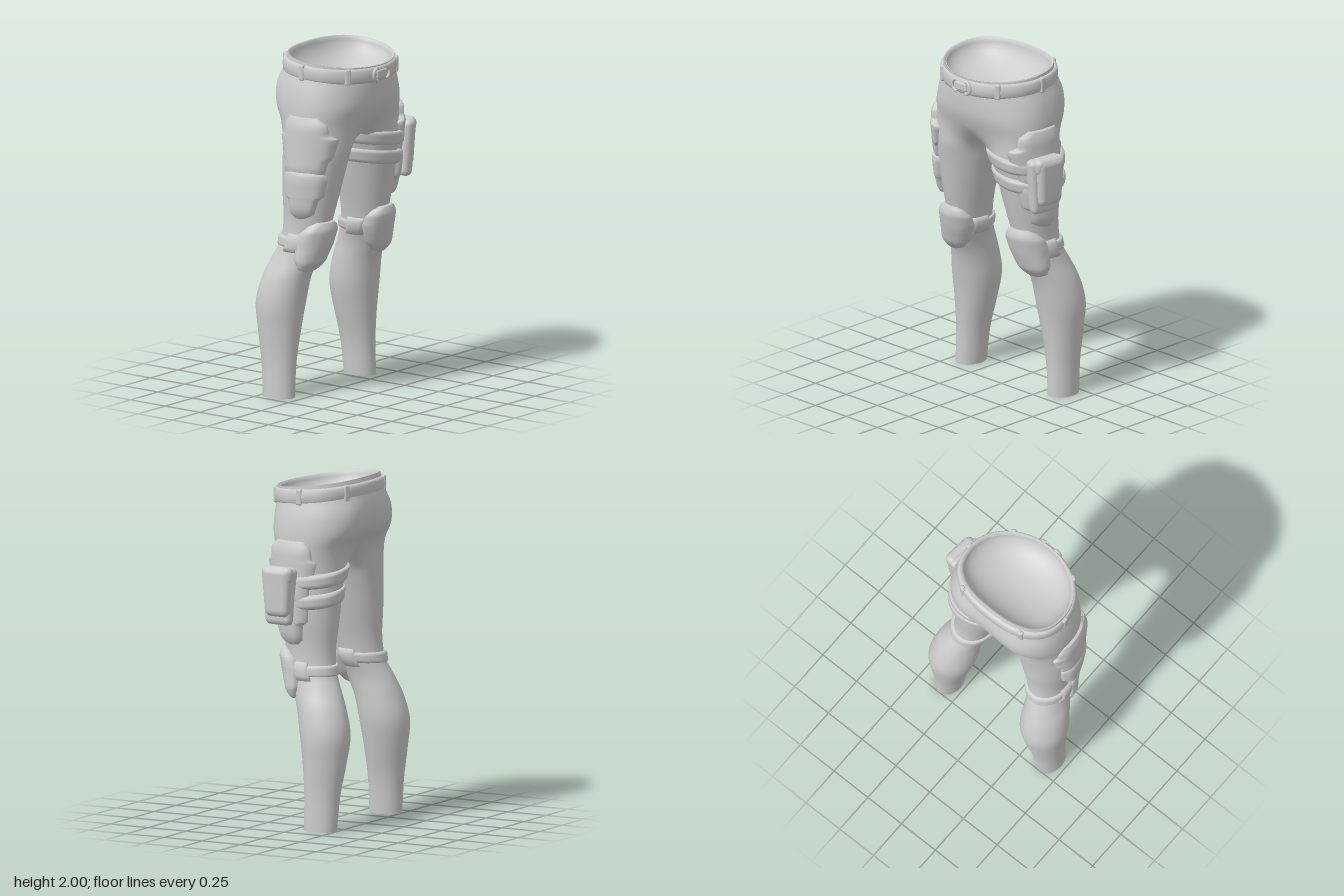
import * as THREE from 'three';
import { mergeVertices, mergeGeometries } from 'three/addons/utils/BufferGeometryUtils.js';
import { RoundedBoxGeometry } from 'three/addons/geometries/RoundedBoxGeometry.js';

const CX = -0.025; // symmetry plane of the trousers
const rad = THREE.MathUtils.degToRad;
const lerp = THREE.MathUtils.lerp;
const spow = (v, p) => Math.sign(v) * Math.abs(v) ** p;

// leg sections: y, inner x, outer x, front z, back z
const LEG = [
  [0, 0.295, 0.45, -0.05, -0.25], [0.2, 0.275, 0.45, -0.05, -0.265],
  [0.4, 0.23, 0.465, -0.035, -0.295], [0.55, 0.2, 0.475, -0.015, -0.31],
  [0.7, 0.195, 0.45, 0.015, -0.275], [0.8, 0.19, 0.415, 0.055, -0.235],
  [0.9, 0.165, 0.39, 0.09, -0.19], [1.02, 0.14, 0.385, 0.12, -0.175],
  [1.2, 0.095, 0.4, 0.16, -0.185], [1.35, 0.06, 0.405, 0.19, -0.19],
  [1.46, 0.03, 0.4, 0.212, -0.2],
];
// hip sections: y, half width, front z, back z, front cleft, back cleft, tilt, front squareness
const HIP = [
  [1.6, 0.395, 0.248, -0.25, 0.012, 0.055, 0, 0.8], [1.7, 0.392, 0.275, -0.302, 0, 0.035, 0, 0.87],
  [1.8, 0.376, 0.285, -0.308, 0, 0.025, 0.04, 0.95], [1.9, 0.347, 0.287, -0.258, 0, 0, 0.09, 1],
  [1.97, 0.342, 0.29, -0.235, 0, 0, 0.125, 1],
];

// section points; angle 0 is the front, 90 the outer side, 180 the back
function legPoint([y, xi, xo, zf, zb], a, s, out = 0) {
  const rx = (xo - xi) / 2, rz = (zf - zb) / 2;
  const n = new THREE.Vector2(Math.sin(a) / rx, Math.cos(a) / rz).normalize();
  const x = (xi + xo) / 2 + rx * Math.sin(a) + n.x * out;
  return new THREE.Vector3(CX + s * x, y, (zf + zb) / 2 + rz * Math.cos(a) + n.y * out);
}
function hipPoint([y, w, zf, zb, cf, cb, tilt, pf], a, s) {
  const c = Math.cos(a), p = c > 0 ? pf : 0.8;
  const dip = Math.exp(-((Math.acos(Math.min(1, Math.abs(c))) / 0.4) ** 2));
  const z = c > 0 ? zf * spow(c, p) - cf * dip : zb * spow(-c, p) + cb * dip;
  return new THREE.Vector3(CX + s * w * spow(Math.sin(a), p), y - tilt * z, z);
}
function legAt(y) {
  const keys = [...LEG, [1.6, 0, 0.395, 0.25, -0.24]];
  let i = 0;
  while (i < keys.length - 2 && keys[i + 1][0] < y) i++;
  const t = Math.min(1, (y - keys[i][0]) / (keys[i + 1][0] - keys[i][0]));
  const k = keys[i].map((v, j) => lerp(v, keys[i + 1][j], t));
  k[0] = y;
  return k;
}

// skin over rows of points
function grid(rows, flip) {
  const n = rows[0].length, index = [];
  for (let i = 0; i < rows.length - 1; i++) for (let j = 0; j < n - 1; j++) {
    const a = i * n + j, b = a + 1, d = a + n, c = d + 1;
    index.push(...(flip ? [a, c, b, a, d, c] : [a, b, c, a, c, d]));
  }
  const g = new THREE.BufferGeometry().setFromPoints(rows.flat());
  g.setIndex(index);
  return smooth(g);
}
function smooth(g) {
  g.deleteAttribute('normal');
  g.deleteAttribute('uv');
  const m = mergeVertices(g, 1e-4);
  m.computeVertexNormals();
  return m;
}

// one half of the trousers: outer columns run ankle to waist, inner ones ankle to crotch
function halfBody(s) {
  const STEP = 4, N = 36, M = 10;
  const sample = (pts) => new THREE.CatmullRomCurve3(pts, false, 'centripetal').getPoints(STEP * (pts.length - 1));
  const outer = [], inner = [];
  for (let j = 0; j <= N; j++) {
    const a = rad(-50 + 280 * j / N), h = Math.PI * j / N;
    outer.push(sample([...LEG.map(k => legPoint(k, a, s)), ...HIP.map(k => hipPoint(k, h, s))]));
  }
  const back = hipPoint(HIP[0], Math.PI, s), front = hipPoint(HIP[0], 0, s);
  for (let j = 0; j <= M; j++) {
    const u = j / M, a = rad(230 + 80 * u);
    const crotch = new THREE.Vector3(CX, 1.6 - 0.07 * Math.sin(Math.PI * u) ** 0.8, lerp(back.z, front.z, u));
    inner.push(sample([...LEG.map(k => legPoint(k, a, s)), crotch]));
  }
  inner[0] = outer[N].slice(0, LEG.length * STEP + 1);
  inner[M] = outer[0].slice(0, LEG.length * STEP + 1);
  return [grid(outer, s > 0), grid(inner, s > 0)];
}

// raised, soft-edged pad following a leg; rows run upward as y, start angle, end angle
const swell = (f) => 0.4 + 0.6 * Math.sin(Math.min(1, Math.min(f, 1 - f) / 0.22) * Math.PI / 2);
function patch(s, rows, thick, { shift = () => 0, closed = false } = {}) {
  const across = [];
  if (closed) for (let i = 0; i <= 48; i++) across.push([i / 48, 1]);
  else {
    for (let i = 0; i <= 20; i++) across.push([i / 20, swell(i / 20)]);
    across.unshift([0, -1]);
    across.push([1, -1]);
  }
  const last = rows.length - 1, low = rows[0][0], high = rows[last][0];
  const ring = ([y, a0, a1], skirt) => across.map(([v, e]) => {
    const a = rad(lerp(a0, a1, v)), yy = y + shift(a);
    const t = typeof thick === 'function' ? thick(a) : thick;
    const out = skirt || e < 0 ? -0.02 : t * e * swell((y - low) / (high - low));
    return legPoint(legAt(yy), a, s, out);
  });
  const list = [ring(rows[0], true)];
  for (let i = 0; i < last; i++) for (let k = 0; k < 4; k++)
    list.push(ring(rows[i].map((v, j) => lerp(v, rows[i + 1][j], k / 4)), false));
  list.push(ring(rows[last], false), ring(rows[last], true));
  return grid(list, s < 0);
}

export function createModel() {
  const model = new THREE.Group();
  const grey = new THREE.MeshStandardMaterial({ color: 0xcccccc });
  grey.name = 'grey';
  const add = (name, geo, x = 0, y = 0, z = 0, ry = 0) => {
    const m = new THREE.Mesh(geo, grey);
    m.name = name;
    m.position.set(x, y, z);
    m.rotation.y = ry;
    model.add(m);
  };
  const loop = (key) => Array.from({ length: 65 }, (_, i) => hipPoint(key, Math.PI * 2 * i / 64, 1));

  add('trousers', smooth(mergeGeometries([...halfBody(1), ...halfBody(-1)])));

  // hollow at the waist
  const top = HIP[HIP.length - 1];
  const bowl = [loop(top)];
  for (let i = 0; i <= 12; i++) {
    const a = Math.PI / 2 * i / 12, c = 0.955 * Math.cos(a);
    bowl.push(loop([1.968 - 0.16 * Math.sin(a), top[1] * c, top[2] * c, top[3] * c, 0, 0, 0.125, 1]));
  }
  add('waistLining', grid(bowl, false));

  // belt with loops and buckle
  const belt = [[-0.02, -0.045], [0.004, -0.043], [0.012, -0.028], [0.015, 0], [0.012, 0.028], [0.004, 0.042], [-0.02, 0.044]];
  add('belt', grid(belt.map(([o, dy]) => loop([1.91 + dy, 0.346 + o, 0.289 + o, -0.252 - o, 0, 0, 0.085, 1])), false));
  const beltKey = [1.91, 0.353, 0.296, -0.26, 0, 0, 0.085, 1];
  for (const s of [1, -1]) for (const deg of [39, 90, 148]) {
    const p = hipPoint(beltKey, rad(deg), s), q = hipPoint(beltKey, rad(deg + 2), s);
    const r = hipPoint(beltKey, rad(deg - 2), s);
    const turn = Math.atan2(r.z - q.z, q.x - r.x);
    add('beltLoop', new RoundedBoxGeometry(0.036, 0.094, 0.026, 2, 0.01), p.x, p.y, p.z, turn);
  }
  add('buckleBar', new RoundedBoxGeometry(0.09, 0.05, 0.022, 2, 0.01), CX, 1.884, 0.297);
  for (const s of [1, -1]) {
    const side = new THREE.TorusGeometry(0.036, 0.01, 8, 16, Math.PI);
    side.rotateZ(-s * Math.PI / 2);
    add('buckleSide', side, CX + s * 0.035, 1.884, 0.3);
  }

  for (const s of [1, -1]) {
    // ankle end
    const ring = Array.from({ length: 47 }, (_, i) => legPoint(LEG[0], rad(i * 360 / 46), s));
    const mid = new THREE.Vector3(CX + s * 0.3725, 0, -0.15);
    add('ankleEnd', grid([ring.map(() => mid), ring], s < 0));

    // thigh plates
    add('upperThighPlate', patch(s, [
      [1.3, 48, 106], [1.33, 36, 114], [1.4, 34, 116], [1.43, 26, 122],
      [1.535, 24, 124], [1.56, 42, 116], [1.62, 46, 112], [1.66, 60, 104]], 0.032));
    add('lowerThighPlate', patch(s, [
      [1.065, 66, 86], [1.09, 46, 97], [1.18, 40, 102], [1.2, 30, 112],
      [1.32, 30, 114], [1.36, 60, 100]], 0.042));

    // knee pad, side tabs and strap
    add('kneePad', patch(s, [
      [0.75, -10, 26], [0.765, -28, 44], [0.82, -48, 62], [0.92, -60, 76],
      [0.98, -54, 70], [1.02, -38, 54], [1.04, -20, 36]], 0.045));
    for (const [a0, a1] of [[62, 104], [258, 304]])
      add('kneeTab', patch(s, [[0.86, a0, a1], [0.965, a0, a1]], 0.022));
    add('kneeStrap', patch(s, [[0.885, 0, 360], [0.915, 0, 360], [0.945, 0, 360]], 0.014, { closed: true }));
  }

  // holster straps on the left thigh, joined beside the pouch
  const strapThick = (a) => 0.016 + 0.026 * Math.max(0, Math.sin(a));
  const shift = (a) => -0.025 * Math.sin(a);
  for (const y of [1.452, 1.335])
    add('thighStrap', patch(1, [[y - 0.041, 0, 360], [y, 0, 360], [y + 0.041, 0, 360]], strapThick, { shift, closed: true }));
  add('strapJoin', patch(1, [[1.296, 40, 116], [1.395, 40, 116], [1.49, 40, 116]], strapThick, { shift }));

  // pouch: back plate, body and flap, narrowing toward the bottom
  const tapered = (w, h, d, r, k) => {
    const g = new RoundedBoxGeometry(w, h, d, 4, r), p = g.attributes.position;
    for (let i = 0; i < p.count; i++) {
      const t = 0.5 - p.getY(i) / h;
      p.setZ(i, p.getZ(i) * (1 - k * t));
      if (p.getX(i) > 0) p.setX(i, p.getX(i) * (1 - 0.3 * t * t));
    }
    return smooth(g);
  };
  add('pouchBack', tapered(0.08, 0.335, 0.23, 0.035, 0.25), 0.418, 1.348, 0.078, -0.1);
  add('pouchBody', tapered(0.085, 0.285, 0.195, 0.04, 0.2), 0.452, 1.375, 0.07, -0.1);
  add('pouchFlap', tapered(0.075, 0.1, 0.208, 0.035, 0.06), 0.452, 1.472, 0.07, -0.1);
  return model;
}
